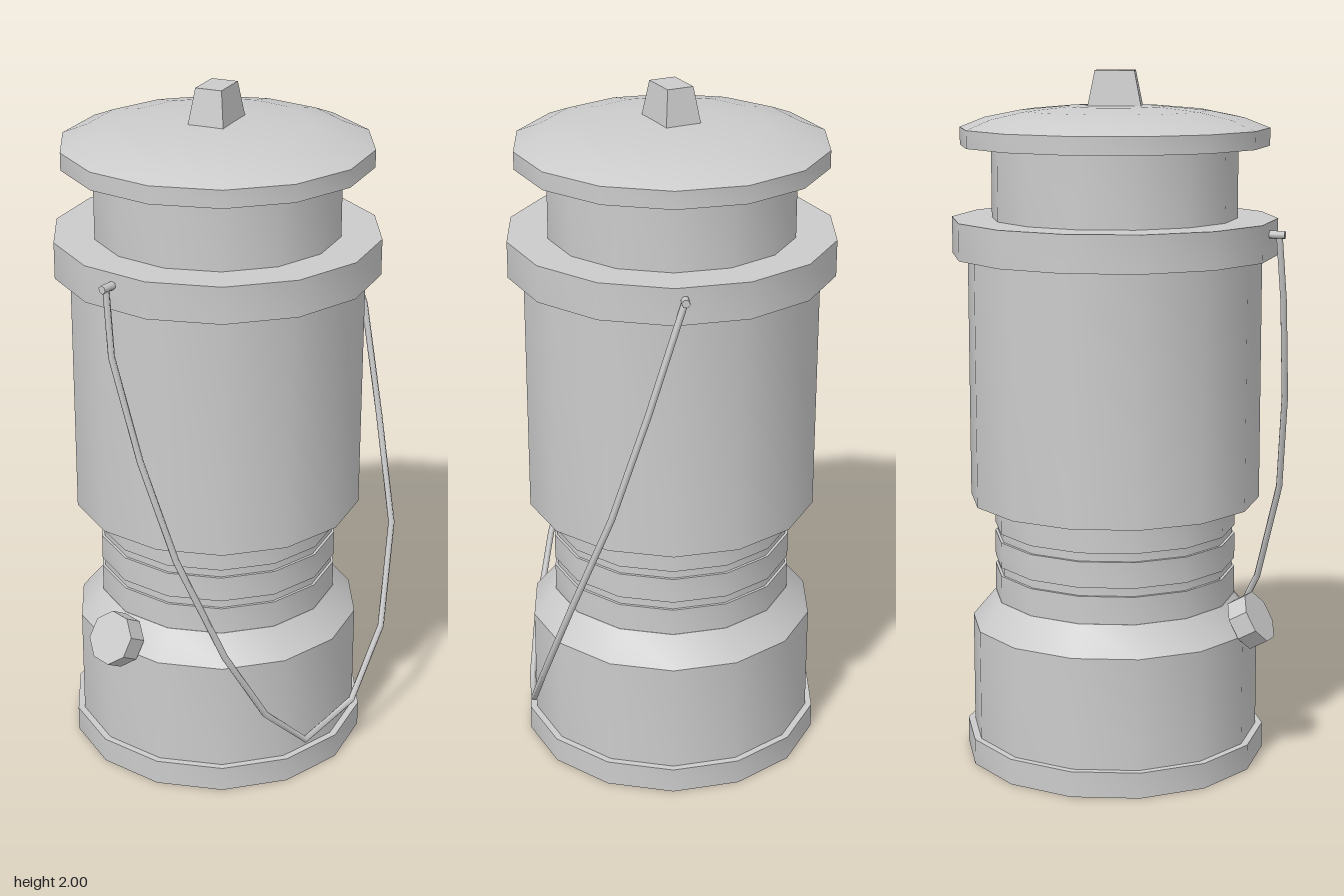
import * as THREE from 'three';
import { toCreasedNormals } from 'three/addons/utils/BufferGeometryUtils.js';

const SIDES = 14;
const material = new THREE.MeshStandardMaterial({ color: 0xcccccc });

function addMesh(parent, name, geometry) {
  const mesh = new THREE.Mesh(geometry, material);
  mesh.name = name;
  parent.add(mesh);
  return mesh;
}

// Turned part from [radius, height] pairs, listed bottom to top
function addTurned(parent, name, profile) {
  const points = profile.map(([r, y]) => new THREE.Vector2(r, y));
  const lathe = new THREE.LatheGeometry(points, SIDES);
  return addMesh(parent, name, toCreasedNormals(lathe, THREE.MathUtils.degToRad(35)));
}

const drum = (r, y0, y1) => [[0, y0], [r, y0], [r, y1], [0, y1]];

export function createModel() {
  const model = new THREE.Group();
  model.name = 'lantern';

  // Turned body, its axis set slightly off centre to balance the bail
  const body = new THREE.Group();
  body.name = 'body';
  body.position.set(-0.02, 0, -0.018);
  model.add(body);

  addTurned(body, 'foot', drum(0.441, 0, 0.075));
  addTurned(body, 'fuelTank', [[0, 0.06], [0.421, 0.06], [0.421, 0.4], [0.354, 0.48], [0, 0.48]]);

  // Burner neck with two shallow grooves
  const neck = [[0, 0.47], [0.353, 0.47]];
  for (const y of [0.56, 0.66]) {
    neck.push([0.353, y], [0.345, y], [0.345, y + 0.025], [0.353, y + 0.025]);
  }
  neck.push([0.353, 0.78], [0, 0.78]);
  addTurned(body, 'burnerNeck', neck);

  addTurned(body, 'globe', drum(0.423, 0.77, 1.49));
  addTurned(body, 'collar', drum(0.467, 1.48, 1.585));
  addTurned(body, 'chimney', drum(0.352, 1.58, 1.8));
  addTurned(body, 'lid', [
    [0, 1.79], [0.441, 1.79], [0.441, 1.84], [0.37, 1.868],
    [0.27, 1.888], [0.14, 1.9], [0, 1.903],
  ]);

  // Tapered rectangular lid handle
  const handle = new THREE.BoxGeometry(0.108, 0.11, 0.155);
  const p = handle.attributes.position;
  for (let i = 0; i < p.count; i++) {
    if (p.getY(i) > 0) p.setXYZ(i, p.getX(i) * 0.72, p.getY(i), p.getZ(i) * 0.72);
  }
  handle.computeVertexNormals();
  addMesh(body, 'lidHandle', handle).position.set(0, 1.945, 0.003);

  // Octagonal wick knob standing out of the tank shoulder
  const axis = new THREE.Vector3(-0.28, 0.5, 0.82).normalize();
  const knob = addMesh(model, 'wickKnob',
    toCreasedNormals(new THREE.CylinderGeometry(0.078, 0.078, 0.06, 8), 0.5));
  knob.quaternion.setFromUnitVectors(new THREE.Vector3(0, 1, 0), axis);
  knob.position.set(-0.17, 0.452, 0.41).addScaledVector(axis, -0.03);

  // Wire bail hanging down around the left side
  const path = [
    [-0.135, 1.55, 0.45], [-0.115, 1.36, 0.465], [-0.03, 1.07, 0.475], [0.07, 0.78, 0.465],
    [0.19, 0.47, 0.405], [0.28, 0.25, 0.315], [0.355, 0.11, 0.19], [0.43, 0.16, 0],
    [0.462, 0.34, -0.155], [0.435, 0.62, -0.3], [0.35, 0.93, -0.395], [0.27, 1.25, -0.46],
    [0.16, 1.55, -0.455],
  ].map((v) => new THREE.Vector3(...v));
  const curve = new THREE.CatmullRomCurve3(path);
  curve.getUtoTmapping = (u) => u; // one tube ring per listed point
  addMesh(model, 'bail', new THREE.TubeGeometry(curve, path.length - 1, 0.01, 5));

  // Pins holding the bail ends to the collar
  for (const end of [path[0], path[path.length - 1]]) {
    const pin = addMesh(model, 'bailPin', new THREE.CylinderGeometry(0.012, 0.012, 0.05, 6));
    const out = new THREE.Vector3(end.x + 0.02, 0, end.z + 0.018).normalize();
    pin.quaternion.setFromUnitVectors(new THREE.Vector3(0, 1, 0), out);
    pin.position.copy(end).addScaledVector(out, -0.008);
  }

  return model;
}
